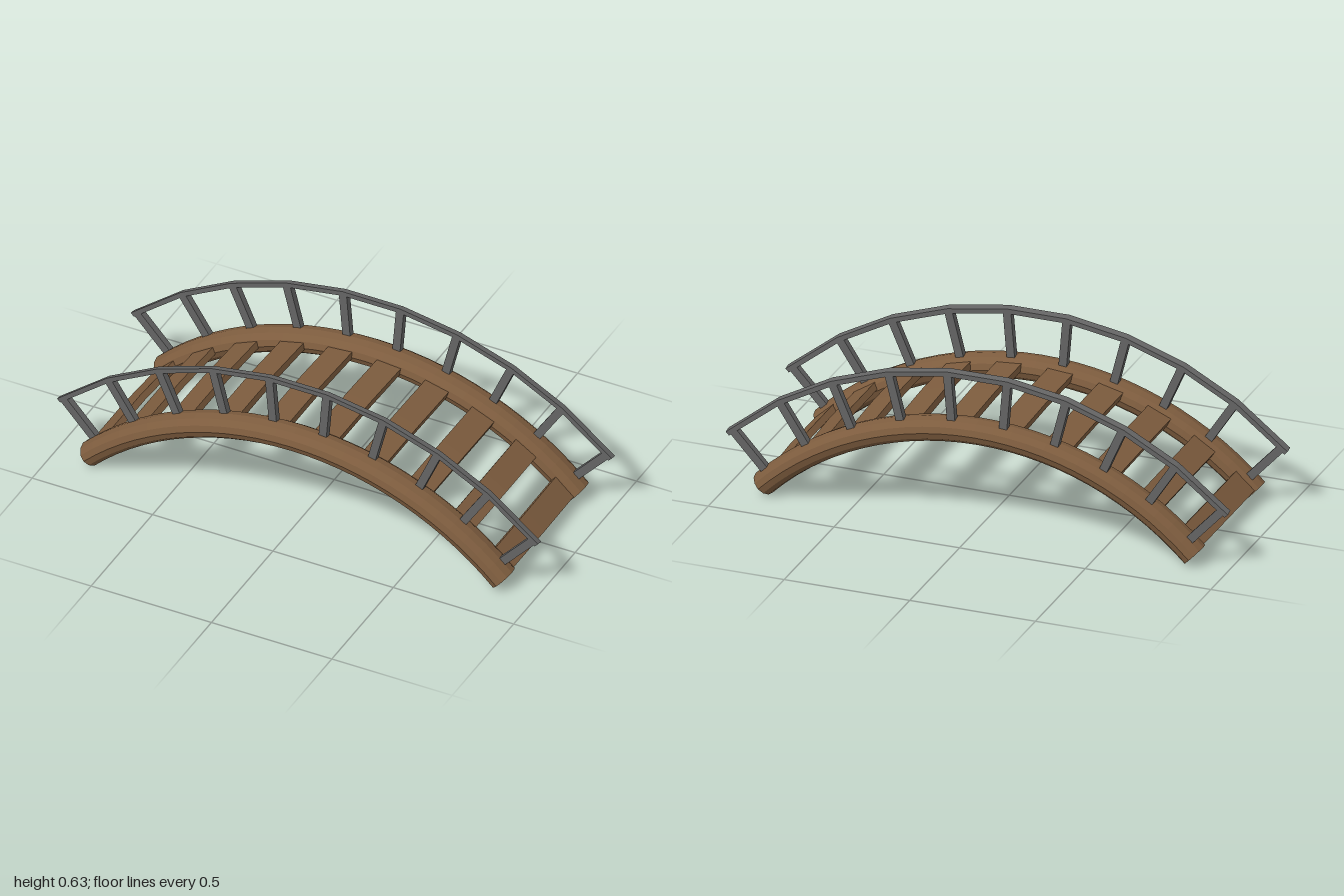
import * as THREE from 'three';

const CY = -0.819;                      // height of the arc's centre
const STEP = THREE.MathUtils.degToRad(85 / 9);
const COUNT = 10;                       // planks, and posts per side
const wood = new THREE.MeshStandardMaterial({ color: 0x7d5c3e, flatShading: true });
const metal = new THREE.MeshStandardMaterial({ color: 0x646464, flatShading: true });

const angleAt = (i) => (i - (COUNT - 1) / 2) * STEP;
const onArc = (r, a) => new THREE.Vector2(r * Math.sin(a), CY + r * Math.cos(a));

function addMesh(parent, name, geometry, material) {
  const mesh = new THREE.Mesh(geometry, material);
  mesh.name = name;
  parent.add(mesh);
  return mesh;
}

// Lower vertices along local y by a rule of local z
function sag(geometry, rule) {
  const p = geometry.attributes.position;
  for (let i = 0; i < p.count; i++) p.setY(i, p.getY(i) - rule(p.getZ(i)));
  geometry.computeVertexNormals();
  return geometry;
}

// Curved log: elliptical twelve-sided section swept along a 90 degree arc
function beamGeometry() {
  const sides = 12, segments = 28, R = 1.212, rRadial = 0.048, rz = 0.062;
  const pos = [], index = [];
  for (let s = 0; s <= segments; s++) {
    const a = (s / segments - 0.5) * Math.PI / 2;
    for (let k = 0; k < sides; k++) {
      const t = (k / sides) * Math.PI * 2;
      const p = onArc(R + rRadial * Math.cos(t), a);
      pos.push(p.x, p.y, rz * Math.sin(t));
    }
  }
  for (let s = 0; s < segments; s++) {
    for (let k = 0; k < sides; k++) {
      const a = s * sides + k, b = s * sides + (k + 1) % sides;
      index.push(a, b, a + sides, b, b + sides, a + sides);
    }
  }
  // End caps
  const last = segments * sides;
  for (let k = 1; k < sides - 1; k++) {
    index.push(0, k + 1, k);
    index.push(last, last + k, last + k + 1);
  }
  const g = new THREE.BufferGeometry();
  g.setAttribute('position', new THREE.Float32BufferAttribute(pos, 3));
  g.setIndex(index);
  const flat = g.toNonIndexed();
  flat.computeVertexNormals();
  return flat;
}

// Faceted handrail with mitred corners at the posts
function railGeometry(depth) {
  const outer = [], inner = [];
  for (let i = 0; i < COUNT; i++) {
    const end = i === 0 ? -0.015 : i === COUNT - 1 ? 0.015 : 0;
    outer.push(onArc(1.455, angleAt(i) + end));
    inner.push(onArc(1.436, angleAt(i) + end));
  }
  const shape = new THREE.Shape([...outer, ...inner.reverse()]);
  const g = new THREE.ExtrudeGeometry(shape, { depth, bevelEnabled: false });
  g.translate(0, 0, -depth / 2);
  return g;
}

export function createModel() {
  const bridge = new THREE.Group();
  bridge.name = 'archedBridge';

  // Side beams
  const beam = beamGeometry();
  for (const side of [1, -1]) {
    addMesh(bridge, side > 0 ? 'frontBeam' : 'backBeam', beam, wood).position.z = 0.3 * side;
  }

  // Deck planks, dipping slightly towards the back
  const planks = new THREE.Group();
  planks.name = 'planks';
  bridge.add(planks);
  const plank = sag(new THREE.BoxGeometry(0.1, 0.026, 0.51, 1, 1, 2), (z) => Math.max(0, -z) * 0.04);
  for (let i = 0; i < COUNT; i++) {
    const a = angleAt(i), p = onArc(1.228, a);
    const mesh = addMesh(planks, 'plank', plank, wood);
    mesh.position.set(p.x, p.y, 0.005);
    mesh.rotation.z = -a;
  }

  // Railings: posts and faceted handrail on each side
  const depth = 0.027, top = 1.44, bottom = 1.25;
  const lean = (z) => (depth / 2 - z) * 0.2;
  const post = sag(new THREE.BoxGeometry(0.032, top - bottom, depth), lean);
  const rail = sag(railGeometry(depth), lean);
  for (const side of [1, -1]) {
    const railing = new THREE.Group();
    railing.name = side > 0 ? 'frontRailing' : 'backRailing';
    railing.position.z = 0.3 * side - depth / 2;
    bridge.add(railing);
    addMesh(railing, 'handrail', rail, metal);
    for (let i = 0; i < COUNT; i++) {
      const a = angleAt(i), p = onArc((top + bottom) / 2, a);
      const mesh = addMesh(railing, 'post', post, metal);
      mesh.position.set(p.x, p.y, 0);
      mesh.rotation.z = -a;
    }
  }
  return bridge;
}
